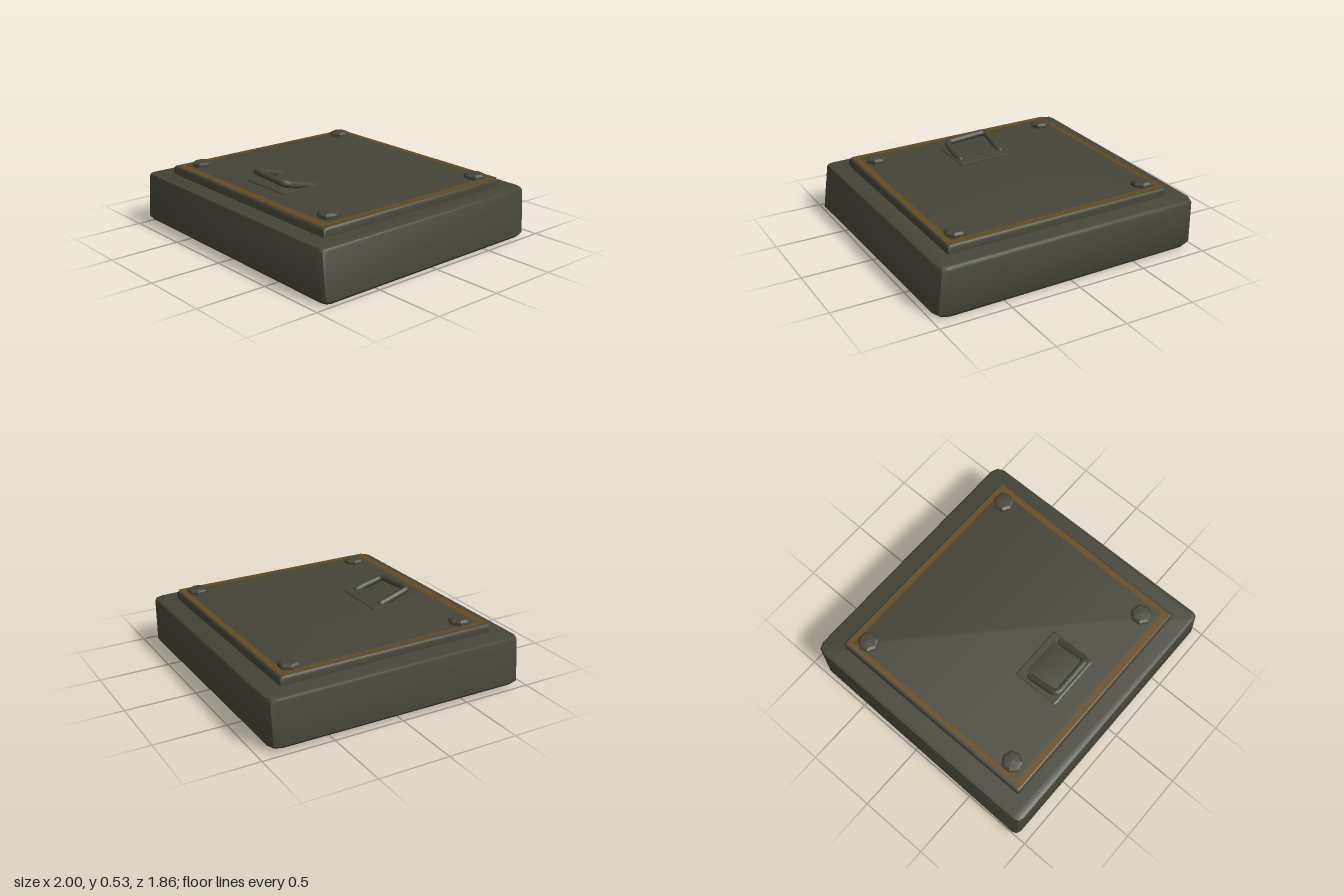
import * as THREE from 'three';
import { toCreasedNormals } from 'three/addons/utils/BufferGeometryUtils.js';

const olive = new THREE.MeshStandardMaterial({ color: 0x454437, side: THREE.DoubleSide });
olive.name = 'olive metal';
const ochre = new THREE.MeshStandardMaterial({ color: 0x664a1d, side: THREE.DoubleSide });
ochre.name = 'ochre paint';

// The whole upper surface leans slightly to one side
const tilt = (x, z) => -0.01 * x + 0.005 * z;

// Four-sided loop with cut corners, counter-clockwise seen from above
function loop(y, left, right, back, front, cut, taper = 0) {
  const pts = [];
  const corners = [[right, front, 0], [right, back, 1], [left, back, 1], [left, front, 0]];
  corners.forEach(([x, z, isBack], i) => {
    const sx = Math.sign(x - (left + right) / 2), sz = isBack ? -1 : 1;
    const c = isBack ? cut : cut * 0.6;
    const px = x - sx * taper * isBack;
    const arc = [[0, 1], [0.29, 0.29], [1, 0]].map(([a, b]) => [px - sx * a * c, z - sz * b * c]);
    if (i % 2 === 0) arc.reverse();
    for (const [ax, az] of arc) pts.push(new THREE.Vector3(ax, y + tilt(ax, az), az));
  });
  return pts;
}

// Skin over stacked loops, closed on top and open below
function loft(loops, crease = 0.7) {
  const n = loops[0].length, pos = [], index = [];
  loops.forEach(l => l.forEach(p => pos.push(p.x, p.y, p.z)));
  for (let r = 0; r < loops.length - 1; r++) {
    for (let i = 0; i < n; i++) {
      const a = r * n + i, b = r * n + (i + 1) % n;
      index.push(a, b, b + n, a, b + n, a + n);
    }
  }
  const top = (loops.length - 1) * n;
  for (let i = 1; i < n - 1; i++) index.push(top, top + i, top + i + 1);
  const g = new THREE.BufferGeometry();
  g.setAttribute('position', new THREE.Float32BufferAttribute(pos, 3));
  g.setIndex(index);
  return toCreasedNormals(g, crease);
}

export function createModel() {
  const group = new THREE.Group();
  const add = (name, geometry, material = olive) => {
    const mesh = new THREE.Mesh(geometry, material);
    mesh.name = name;
    group.add(mesh);
    return mesh;
  };

  // Hollow base with tapered walls and soft edges
  add('base', loft([
    loop(0.01, -0.975, 0.975, -0.905, 0.91, 0.07, 0.025),
    loop(0.035, -1, 1, -0.92, 0.93, 0.07, 0.025),
    loop(0.335, -0.975, 0.96, -0.93, 0.925, 0.07, 0.01),
    loop(0.353, -0.968, 0.952, -0.922, 0.918, 0.07, 0.01),
    loop(0.36, -0.95, 0.935, -0.905, 0.9, 0.06, 0.01),
  ]));

  // Raised lid
  add('lid', loft([
    loop(0.355, -0.83, 0.825, -0.785, 0.795, 0.02),
    loop(0.402, -0.83, 0.825, -0.785, 0.795, 0.02),
    loop(0.416, -0.822, 0.817, -0.777, 0.787, 0.02),
    loop(0.42, -0.808, 0.803, -0.763, 0.773, 0.02),
  ]));

  // Painted border around the lid
  const quad = p => p.map(([x, z]) => new THREE.Vector2(x, -z));
  const border = new THREE.Shape(quad([[-0.812, -0.77], [0.818, -0.77], [0.802, 0.78], [-0.802, 0.78]]));
  border.holes.push(new THREE.Path(quad([[-0.775, -0.73], [0.775, -0.73], [0.762, 0.73], [-0.768, 0.73]])));
  const borderGeo = new THREE.ShapeGeometry(border).rotateX(-Math.PI / 2);
  const bp = borderGeo.attributes.position;
  for (let i = 0; i < bp.count; i++) bp.setY(i, 0.4235 + tilt(bp.getX(i), bp.getZ(i)));
  borderGeo.computeVertexNormals();
  add('borderStripe', borderGeo, ochre);

  // Corner bolts with faceted, shallow domed heads
  const profile = [[0.075, 0], [0.073, 0.022], [0.055, 0.034], [0, 0.038]]
    .map(([x, y]) => new THREE.Vector2(x, y));
  [[-0.71, -0.66], [0.71, -0.66], [0.67, 0.63], [-0.7, 0.63]].forEach(([x, z], i) => {
    const g = new THREE.LatheGeometry(profile, 7).toNonIndexed();
    g.computeVertexNormals();
    const bolt = add('bolt' + (i + 1), g);
    bolt.position.set(x, 0.418 + tilt(x, z), z);
    bolt.rotation.y = i * 0.8;
  });

  // Handle mounting plate, whose sleeve reaches below the lid
  add('handlePlate', loft([
    loop(0.28, -0.225, 0.185, 0.25, 0.595, 0.01),
    loop(0.425, -0.225, 0.185, 0.25, 0.595, 0.01),
    loop(0.43, -0.215, 0.175, 0.26, 0.585, 0.01),
  ], 0.3));
  add('handlePlateInset', loft([
    loop(0.43, -0.16, 0.13, 0.3, 0.55, 0.01),
    loop(0.434, -0.15, 0.12, 0.31, 0.54, 0.01),
  ], 0.3));

  // Slanted pull handle, bent with rounded corners
  const path = new THREE.CurvePath();
  const P = (x, y, z) => new THREE.Vector3(x, y, z);
  const a = P(-0.175, 0.43, 0.34), b = P(-0.175, 0.502, 0.565);
  const c = P(0.152, 0.48, 0.56), d = P(0.15, 0.425, 0.34);
  const b0 = b.clone().lerp(a, 0.2), b1 = b.clone().lerp(c, 0.14);
  const c0 = c.clone().lerp(b, 0.14), c1 = c.clone().lerp(d, 0.2);
  path.add(new THREE.LineCurve3(a, b0));
  path.add(new THREE.QuadraticBezierCurve3(b0, b, b1));
  path.add(new THREE.LineCurve3(b1, c0));
  path.add(new THREE.QuadraticBezierCurve3(c0, c, c1));
  path.add(new THREE.LineCurve3(c1, d));
  add('handle', new THREE.TubeGeometry(path, 48, 0.024, 8));
  for (const end of [a, d]) {
    add('handleEnd', new THREE.SphereGeometry(0.024, 8, 6)).position.copy(end);
  }

  return group;
}
